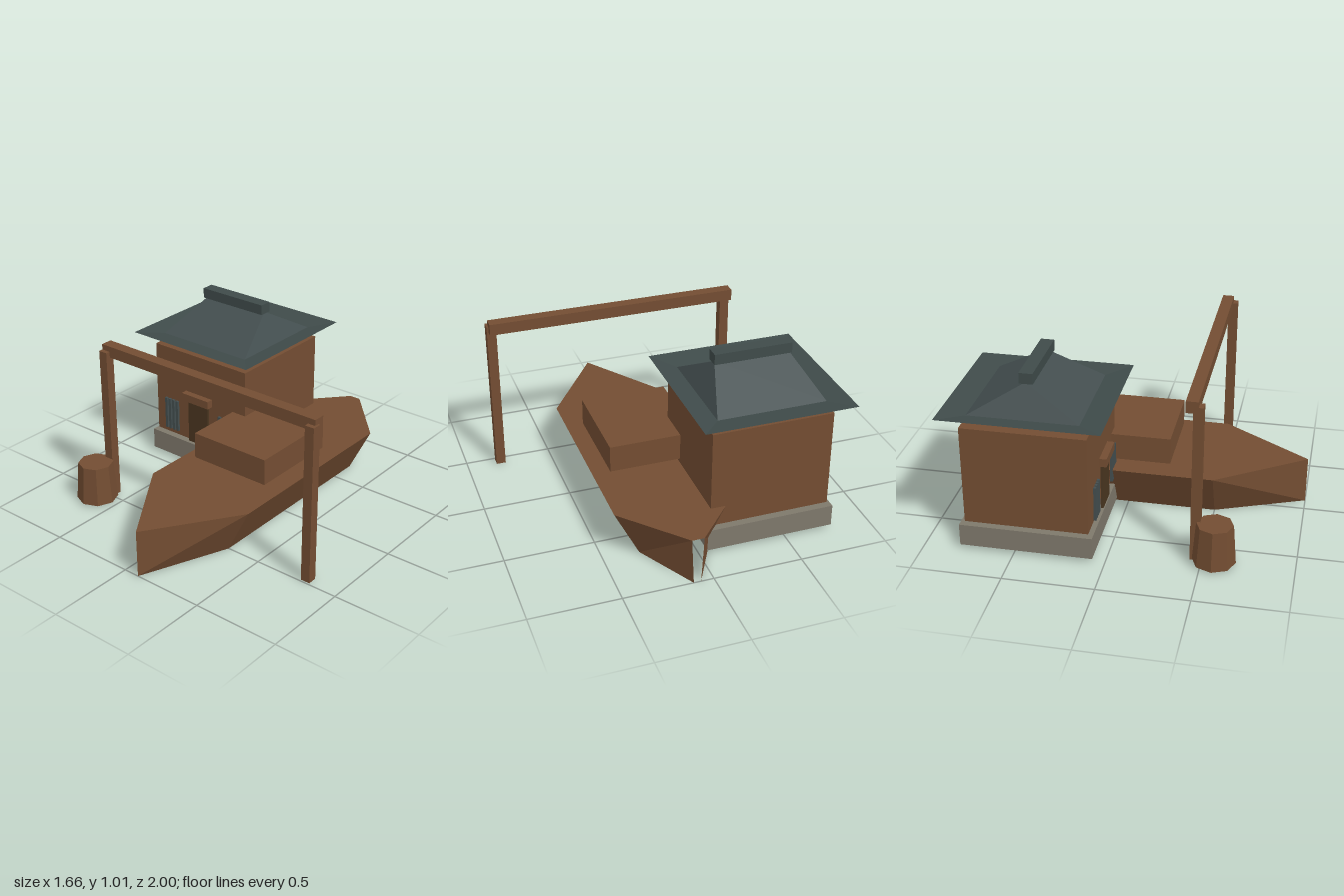
import * as THREE from 'three';

const mat = (name, color) => {
  const m = new THREE.MeshStandardMaterial({ color, side: THREE.DoubleSide, flatShading: true });
  m.name = name;
  return m;
};

// Skin a run of four-cornered loops; mirrored strips share mirrored diagonals.
// Strips from index "strips" on are left open.
function skin(loops, strips = [0, 1, 2, 3]) {
  const pos = [];
  const tri = (...pts) => pts.forEach((p) => pos.push(...p));
  for (let i = 0; i < loops.length - 1; i++) {
    const a = loops[i], b = loops[i + 1];
    for (const k of strips) {
      const n = (k + 1) % 4;
      if (k === 3) { tri(a[k], a[n], b[n]); tri(a[k], b[n], b[k]); }
      else { tri(a[k], a[n], b[k]); tri(a[n], b[n], b[k]); }
    }
  }
  const g = new THREE.BufferGeometry();
  g.setAttribute('position', new THREE.Float32BufferAttribute(pos, 3));
  g.computeVertexNormals();
  return g;
}

// Drop the downward faces of a geometry, leaving it open underneath
function openBelow(geometry) {
  const src = geometry.toNonIndexed();
  const normal = src.getAttribute('normal');
  const keep = [];
  for (let i = 0; i < normal.count; i += 3) {
    if (normal.getY(i) > -0.9) keep.push(i, i + 1, i + 2);
  }
  src.setIndex(keep);
  return src;
}

export function createModel() {
  const wood = mat('brown wood', 0x734d32);
  const darkWood = mat('dark wood', 0x4a3620);
  const stone = mat('grey stone', 0x7e786b);
  const slate = mat('slate', 0x3f4b4a);
  const tile = mat('roof tile', 0x434e4f);

  const model = new THREE.Group();
  const add = (parent, name, geometry, material) => {
    const mesh = new THREE.Mesh(geometry, material);
    mesh.name = name;
    parent.add(mesh);
    return mesh;
  };
  const group = (name) => {
    const g = new THREE.Group();
    g.name = name;
    model.add(g);
    return g;
  };
  // Boxes given by their lower and upper corners
  const box = (parent, name, material, x0, x1, y0, y1, z0, z1) => {
    const mesh = add(parent, name, new THREE.BoxGeometry(x1 - x0, y1 - y0, z1 - z0), material);
    mesh.position.set((x0 + x1) / 2, (y0 + y1) / 2, (z0 + z1) / 2);
    return mesh;
  };
  const openBox = (...args) => {
    const mesh = box(...args);
    mesh.geometry = openBelow(mesh.geometry);
  };

  // House
  const house = group('house');
  const cx = -0.407, cz = -0.435;
  openBox(house, 'foundation', stone, -0.77, -0.04, 0.025, 0.15, -0.797, -0.066);
  box(house, 'walls', wood, -0.747, -0.065, 0.163, 0.727, -0.77, -0.09);
  box(house, 'door', darkWood, -0.48, -0.33, 0.165, 0.44, -0.08, -0.066);
  box(house, 'doorLintel', wood, -0.507, -0.306, 0.44, 0.488, -0.08, -0.04);
  for (const side of [-1, 1]) {
    for (let i = -1.5; i <= 1.5; i++) {
      const x = cx + side * 0.208 + i * 0.028;
      box(house, 'windowBar', tile, x - 0.0085, x + 0.0085, 0.2, 0.4, -0.078, -0.064);
    }
  }

  // Roof: upturned eaves, hipped slopes and a ridge beam
  const roof = group('roof');
  const ring = (hx, hz, y) =>
    [[1, 1], [1, -1], [-1, -1], [-1, 1]].map(([sx, sz]) => [cx + sx * hx, y, cz + sz * hz]);
  const inner = ring(0.306, 0.302, 0.788);
  add(roof, 'eaves', skin([ring(0.424, 0.439, 0.807), inner]), slate);
  add(roof, 'roofSlopes', skin([inner, ring(0.21, 0.001, 0.96)]), tile);
  box(roof, 'ridgeBeam', slate, -0.628, -0.186, 0.955, 1.015, -0.468, -0.394);

  // Boat: cross-sections from bow to stern [z, deck half-width, bottom half-width],
  // open at the bottom and stern
  const boat = group('boat');
  const bx = 0.092;
  const sections = [[1, 0, 0], [0.5, 0.341, 0.205], [-0.66, 0.341, 0.205], [-1, 0.034, 0.02]];
  const hull = sections.map(([z, t, b]) =>
    [[bx - t, 0.273, z], [bx + t, 0.273, z], [bx + b, 0, z], [bx - b, 0, z]]);
  add(boat, 'hull', skin(hull, [0, 1, 3]), wood);
  box(boat, 'cabin', wood, -0.157, 0.341, 0.299, 0.453, -0.298, 0.246);

  // Gate
  const gate = group('gate');
  for (const x of [-0.607, 0.803]) {
    openBox(gate, 'gatePost', wood, x - 0.027, x + 0.027, 0, 0.91, 0.436, 0.489);
  }
  box(gate, 'gateBeam', wood, -0.635, 0.819, 0.876, 0.942, 0.397, 0.463);

  // Barrel, open underneath
  add(model, 'barrel', openBelow(new THREE.CylinderGeometry(0.1, 0.118, 0.228, 8)), wood)
    .position.set(-0.636, 0.126, 0.567);

  return model;
}
